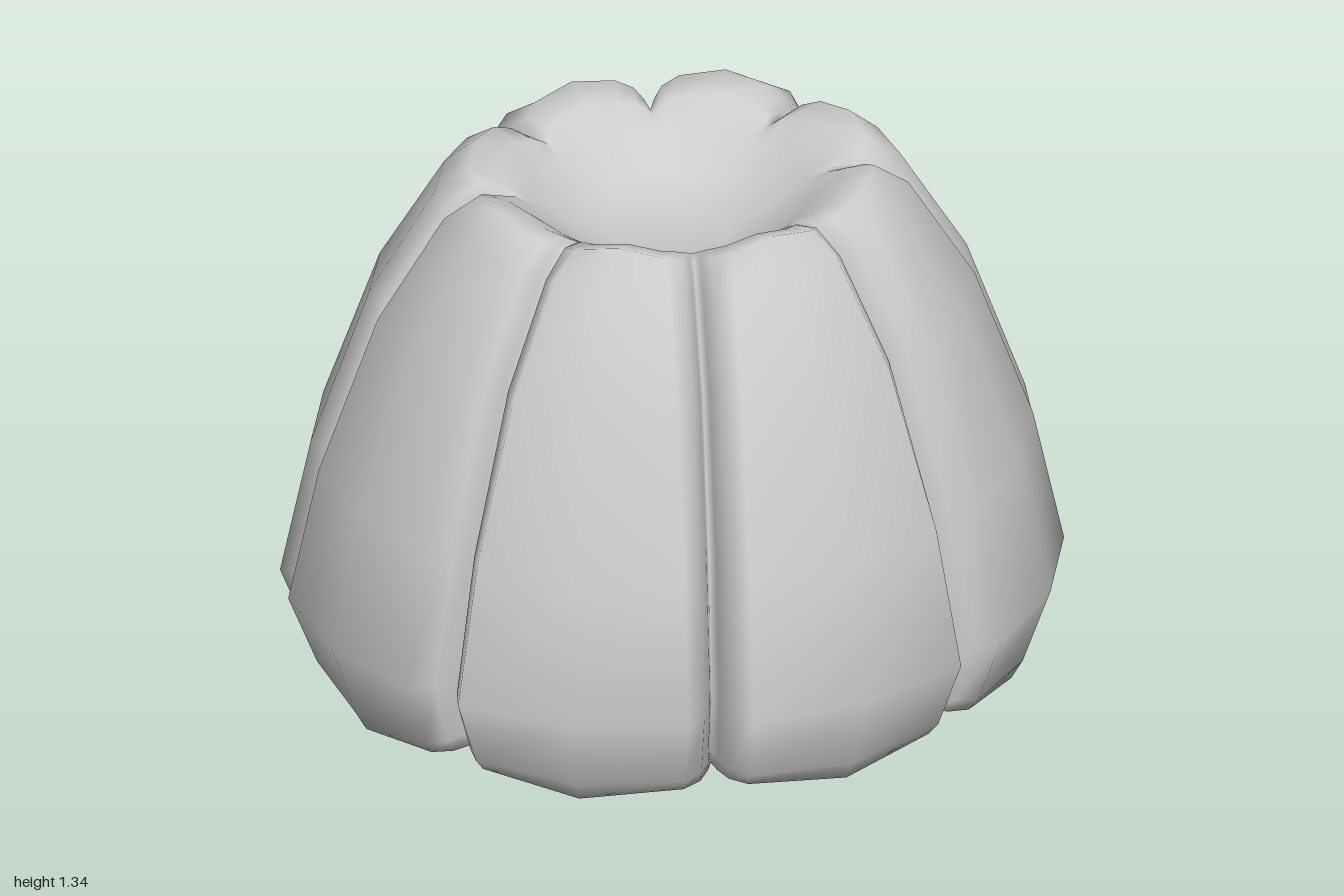
import * as THREE from 'three';
import { mergeVertices } from 'three/addons/utils/BufferGeometryUtils.js';

const LOBES = 8;
const X_SCALE = 0.95; // slightly narrower across than deep

// Profile from the base centre, up the outside, over the rim and down into the bowl:
// [lobe radius, lobe y, groove radius, groove y, drop of the lobe's corners]
const PROFILE = [
  [0, 0.045, 0, 0.045, 0],
  [0.6, 0.045, 0.6, 0.045, 0],
  [0.82, 0.025, 0.77, 0.045, -0.02],
  [0.9, 0, 0.79, 0.05, -0.035],
  [0.93, 0.05, 0.80, 0.09, -0.02],
  [1.004, 0.25, 0.81, 0.24, 0],
  [0.925, 0.6, 0.75, 0.6, 0],
  [0.775, 1.0, 0.63, 1.0, 0],
  [0.605, 1.27, 0.50, 1.2, 0.005],
  [0.52, 1.34, 0.44, 1.265, 0.022],
  [0.44, 1.315, 0.40, 1.27, 0.015],
  [0.36, 1.25, 0.36, 1.25, 0],
  [0.25, 1.17, 0.25, 1.17, 0],
  [0.15, 1.14, 0.15, 1.14, 0],
  [0, 1.13, 0, 1.13, 0],
];

// Columns across one lobe: [blend from groove to lobe, distance from the groove's middle, side]
const EDGE = [[0, 0], [0.32, 0.014], [0.7, 0.038], [1, 0.083]];
const COLUMNS = [
  ...EDGE.map(([b, w]) => [b, w, 1]),
  [1, 0, 0],
  ...EDGE.slice(1).reverse().map(([b, w]) => [b, w, -1]),
];

function flutedBody() {
  const pos = [], index = [];
  const step = (Math.PI * 2) / LOBES;
  const cols = LOBES * COLUMNS.length;
  for (const [r, y, gr, gy, drop] of PROFILE) {
    for (let lobe = 0; lobe < LOBES; lobe++) {
      for (const [blend, width, side] of COLUMNS) {
        const inset = width / Math.max(r, 0.36);
        const offset = side === 0 ? step / 2 : side > 0 ? inset : step - inset;
        const a = lobe * step + offset;
        const rad = THREE.MathUtils.lerp(gr, r, blend);
        const top = side === 0 ? y : y - drop;
        pos.push(Math.sin(a) * rad * X_SCALE, THREE.MathUtils.lerp(gy, top, blend), Math.cos(a) * rad);
      }
    }
  }
  // the first and last rows shrink to a point, so they get single triangles
  const last = PROFILE.length - 2;
  for (let i = 0; i <= last; i++) {
    for (let j = 0; j < cols; j++) {
      const k = (j + 1) % cols;
      const a = i * cols + j, b = i * cols + k, c = a + cols, d = b + cols;
      if (i > 0) index.push(a, b, d);
      if (i < last) index.push(a, d, c);
    }
  }
  const g = new THREE.BufferGeometry();
  g.setAttribute('position', new THREE.Float32BufferAttribute(pos, 3));
  g.setIndex(index);
  const merged = mergeVertices(g, 1e-5);
  merged.computeVertexNormals();
  return merged;
}

export function createModel() {
  const group = new THREE.Group();
  group.name = 'flutedCake';
  const body = new THREE.Mesh(flutedBody(), new THREE.MeshStandardMaterial({ color: 0xcccccc }));
  body.name = 'flutedBody';
  group.add(body);
  return group;
}
